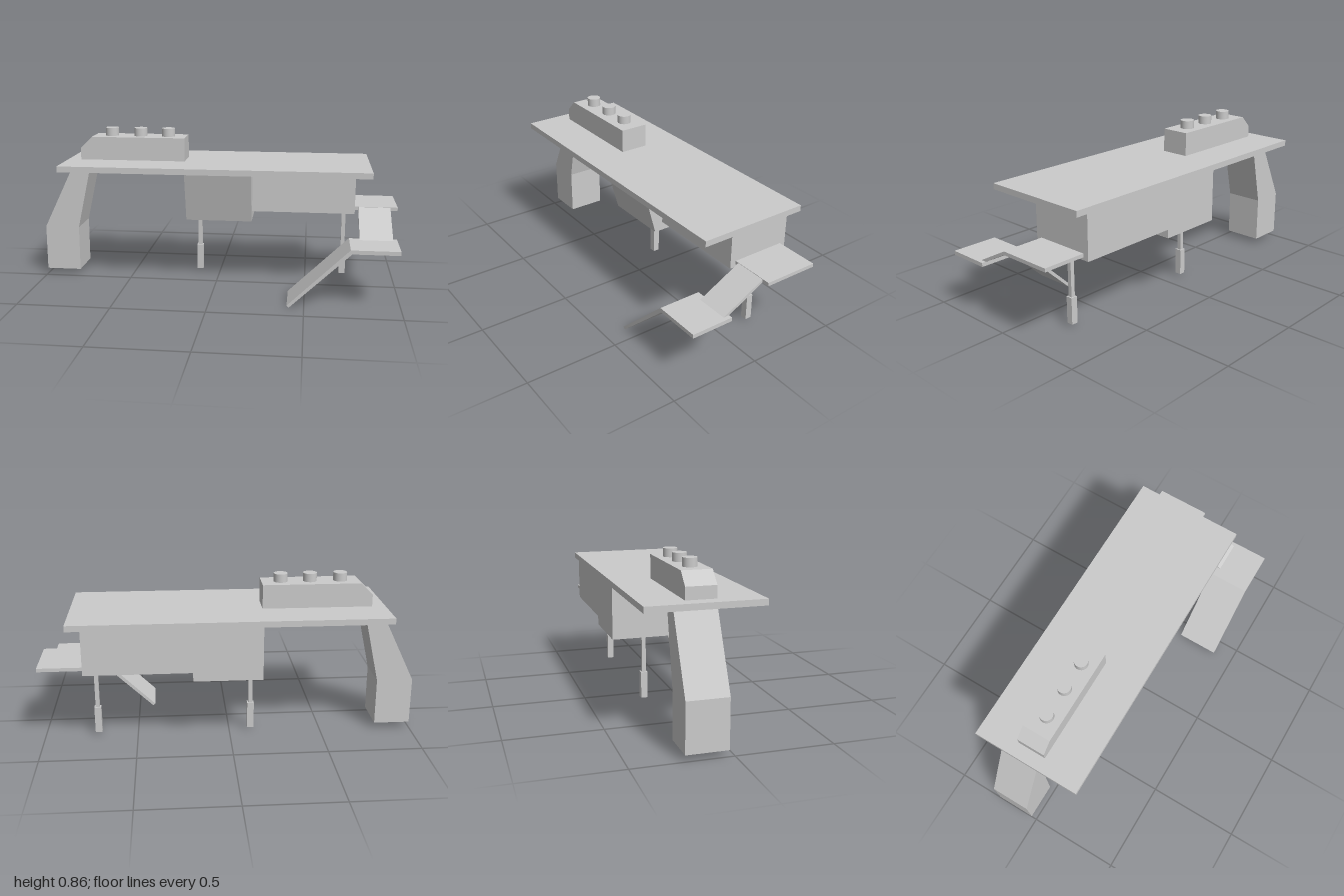
import * as THREE from 'three';

const material = new THREE.MeshStandardMaterial({ color: 0xcccccc, flatShading: true });
const smooth = new THREE.MeshStandardMaterial({ color: 0xcccccc });

export function createModel() {
  const model = new THREE.Group();

  const add = (name, geometry, mat = material) => {
    const mesh = new THREE.Mesh(geometry, mat);
    mesh.name = name;
    model.add(mesh);
    return mesh;
  };

  // Box given by its limits on each axis
  const box = (name, [x0, x1], [y0, y1], [z0, z1]) =>
    add(name, new THREE.BoxGeometry(x1 - x0, y1 - y0, z1 - z0)
      .translate((x0 + x1) / 2, (y0 + y1) / 2, (z0 + z1) / 2));

  const extrude = (points, depth) => new THREE.ExtrudeGeometry(
    new THREE.Shape(points.map(([u, v]) => new THREE.Vector2(u, v))),
    { depth, bevelEnabled: false });

  // Prism with an (x, y) profile running along z
  const prismZ = (name, points, z0, z1) =>
    add(name, extrude(points, z1 - z0).translate(0, 0, z0));

  // Prism with a (z, y) profile running along x
  const prismX = (name, points, x0, x1) =>
    add(name, extrude(points, x1 - x0).rotateY(-Math.PI / 2).translate(x1, 0, 0));

  // Main deck
  box('deck', [-0.843, 0.84], [0.655, 0.687], [-0.385, 0.216]);

  // Chamfered housing on the deck with three round caps
  prismZ('topHousing', [
    [-0.77, 0.687], [-0.18, 0.687], [-0.18, 0.816], [-0.705, 0.816], [-0.77, 0.751],
  ], -0.169, -0.012);
  for (const x of [-0.605, -0.441, -0.283]) {
    add('cap', new THREE.CylinderGeometry(0.037, 0.037, 0.045, 32).translate(x, 0.8385, -0.092), smooth);
  }

  // Bent leg at the right end
  prismZ('bentLeg', [
    [-1, 0.032], [-0.805, 0.032], [-0.805, 0.285], [-0.722, 0.656], [-0.82, 0.656], [-1, 0.285],
  ], -0.24, -0.027);

  // Bodies hanging below the deck
  prismX('slopedBody', [
    [-0.374, 0.365], [0.033, 0.365], [0.114, 0.656], [-0.374, 0.656],
  ], -0.166, 0.199);
  box('sideBody', [0.199, 0.765], [0.413, 0.652], [-0.374, -0.013]);

  // Two struts with thicker feet
  for (const [x, top] of [[-0.117, 0.366], [0.713, 0.414]]) {
    box('strut', [x - 0.011, x + 0.011], [0.16, top], [-0.205, -0.183]);
    box('strutFoot', [x - 0.018, x + 0.018], [0.016, 0.161], [-0.212, -0.176]);
  }

  // Walkway: upper landing, first ramp, lower landing, second ramp
  box('upperLanding', [0.765, 1], [0.428, 0.447], [-0.342, -0.046]);
  prismX('upperRamp', [
    [-0.046, 0.428], [0.155, 0.32], [0.19, 0.32], [-0.046, 0.445],
  ], 0.785, 0.96);
  box('lowerLanding', [0.73, 0.982], [0.3, 0.321], [0.155, 0.386]);
  prismZ('lowerRamp', [
    [0.411, 0.011], [0.422, 0], [0.738, 0.3], [0.73, 0.321],
  ], 0.155, 0.386);

  return model;
}
